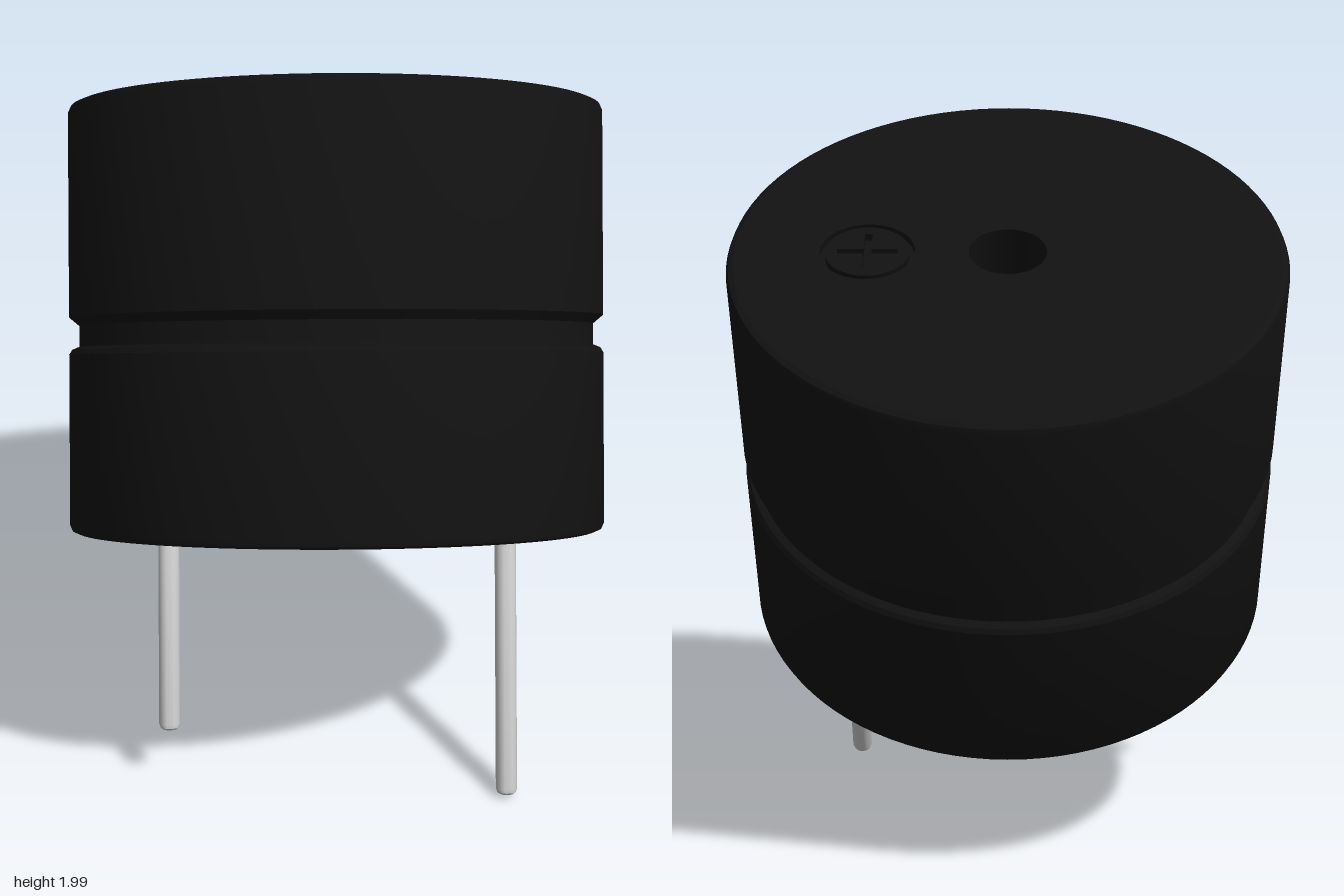
import * as THREE from 'three';
import { toCreasedNormals } from 'three/addons/utils/BufferGeometryUtils.js';

const R = 0.72, H = 1.14;            // housing radius and height
const CAP_R = 0.7, CAP_H = 0.02;     // engraved top layer
const MARK_X = 0.36;                 // centre of the polarity mark

const black = new THREE.MeshStandardMaterial({ color: 0x111111 });
const grey = new THREE.MeshStandardMaterial({ color: 0xcccccc });

function lathe(points, segments) {
  const profile = points.map(([x, y]) => new THREE.Vector2(x, y));
  return toCreasedNormals(new THREE.LatheGeometry(profile, segments), 0.5);
}

function circle(Type, x, r) {
  const c = new Type();
  c.absarc(x, 0, r, 0, Math.PI * 2, false);
  return c;
}

// Plus-shaped outline: arm length a, half width w
function plusPath(x, a, w) {
  const pts = [];
  for (let i = 0; i < 4; i++) {
    const t = i * Math.PI / 2, c = Math.cos(t), s = Math.sin(t);
    for (const [u, v] of [[w, -w], [a, -w], [a, w]])
      pts.push(new THREE.Vector2(x + u * c - v * s, u * s + v * c));
  }
  return new THREE.Path(pts);
}

function add(parent, name, geometry, material) {
  const mesh = new THREE.Mesh(geometry, material);
  mesh.name = name;
  parent.add(mesh);
  return mesh;
}

export function createModel() {
  const model = new THREE.Group();
  model.name = 'buzzer';

  // Everything is built upright, then leans back
  const body = new THREE.Group();
  body.name = 'tiltedBody';
  body.position.set(0, 0.665, 0.242);
  body.rotation.x = THREE.MathUtils.degToRad(-25);
  model.add(body);

  // Housing with side groove, rim, engraving floor and sound hole
  add(body, 'housing', lathe([
    [0, 0], [R - 0.02, 0], [R - 0.006, 0.006], [R, 0.02],
    [R, 0.475], [R - 0.008, 0.488], [R - 0.027, 0.496],
    [R - 0.027, 0.552], [R, 0.575],
    [R, H - 0.02], [R - 0.006, H - 0.006], [CAP_R, H],
    [CAP_R, H - CAP_H], [0.1, H - CAP_H], [0.1, H - 0.2], [0, H - 0.2],
  ], 96), black);

  // Top face, cut by the sound hole and the ring of the polarity mark
  const top = circle(THREE.Shape, 0, CAP_R);
  top.holes.push(circle(THREE.Path, 0, 0.1), circle(THREE.Path, MARK_X, 0.122));
  const island = circle(THREE.Shape, MARK_X, 0.108);
  island.holes.push(plusPath(MARK_X, 0.078, 0.01));
  const cap = new THREE.ExtrudeGeometry([top, island], {
    depth: CAP_H, bevelEnabled: false, curveSegments: 48,
  });
  cap.rotateX(-Math.PI / 2).translate(0, H - CAP_H, 0);
  add(body, 'topFace', toCreasedNormals(cap, 0.5), black);

  // Pins with rounded tips, the positive one longer
  const r = 0.029;
  for (const [name, x, len] of [['longPin', 0.457, 0.725], ['shortPin', -0.457, 0.543]]) {
    const pin = add(body, name, lathe([
      [0, -len], [r - 0.012, -len], [r - 0.004, -len + 0.005], [r, -len + 0.016],
      [r, 0.01], [0, 0.01],
    ], 24), grey);
    pin.position.x = x;
  }
  return model;
}
